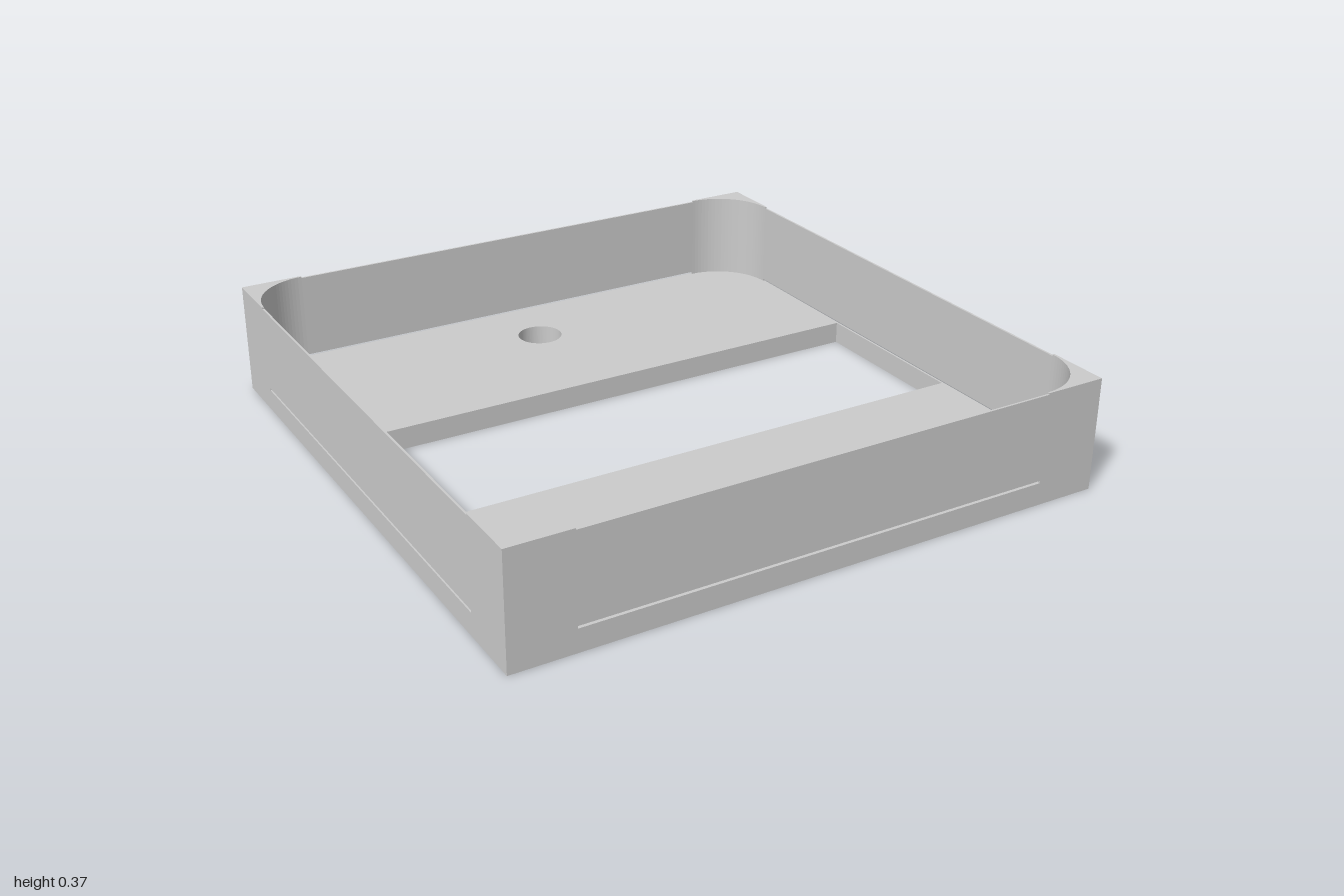
import * as THREE from 'three';

const W = 0.993, D = 1;          // half width and half depth
const T = 0.007;                 // thin wall thickness
const R = 0.2;                   // inner corner radius
const BASE_TOP = 0.075, WALL_LOW = 0.083, WALL_HIGH = 0.369, TOP = 0.374;

const material = new THREE.MeshStandardMaterial({ color: 0xcccccc });

function rectPoints(x0, z0, x1, z1) {
  return [[x0, z0], [x1, z0], [x1, z1], [x0, z1]].map(p => new THREE.Vector2(...p));
}

// Extrudes a plan drawn in (x, z) between two heights
function slab(shape, y0, y1, name) {
  const geo = new THREE.ExtrudeGeometry(shape, { depth: y1 - y0, bevelEnabled: false, curveSegments: 48 });
  geo.rotateX(Math.PI / 2);
  geo.translate(0, y1, 0);
  const mesh = new THREE.Mesh(geo, material);
  mesh.name = name;
  return mesh;
}

function box(w, h, d, x, y, z, name) {
  const mesh = new THREE.Mesh(new THREE.BoxGeometry(w, h, d), material);
  mesh.position.set(x, y, z);
  mesh.name = name;
  return mesh;
}

export function createModel() {
  const model = new THREE.Group();
  model.name = 'squareTray';

  // Base plate with a wide window and a round drain hole
  const base = new THREE.Shape(rectPoints(-W, -D, W, D));
  base.holes.push(new THREE.Path(rectPoints(-W + T, -0.308, W - T, 0.292)));
  base.holes.push(new THREE.Path().absarc(0, -0.757, 0.077, 0, Math.PI * 2, true));
  model.add(slab(base, 0, BASE_TOP, 'basePlate'));

  // Thin walls floating just above the base, held by the corners
  const h = WALL_HIGH - WALL_LOW, y = (WALL_HIGH + WALL_LOW) / 2;
  for (const s of [1, -1]) {
    model.add(box(2 * (W - T - R), h, T, 0, y, s * (D - T / 2), s > 0 ? 'frontWall' : 'backWall'));
    model.add(box(T, h, 2 * (D - T - R), s * (W - T / 2), y, 0, s > 0 ? 'leftWall' : 'rightWall'));
  }

  // Corner posts: square outside, rounded inside
  for (const sx of [1, -1]) for (const sz of [1, -1]) {
    const cx = W - T - R, cz = D - T - R;
    const pts = [[W, cz], [W, D], [cx, D]];
    for (let i = 0; i <= 24; i++) {
      const a = (Math.PI / 2) * (1 - i / 24);
      pts.push([cx + R * Math.cos(a), cz + R * Math.sin(a)]);
    }
    const shape = new THREE.Shape(pts.map(([x, z]) => new THREE.Vector2(sx * x, sz * z)));
    const name = (sz > 0 ? 'front' : 'back') + (sx > 0 ? 'Left' : 'Right') + 'Corner';
    model.add(slab(shape, BASE_TOP, TOP, name));
  }
  return model;
}
